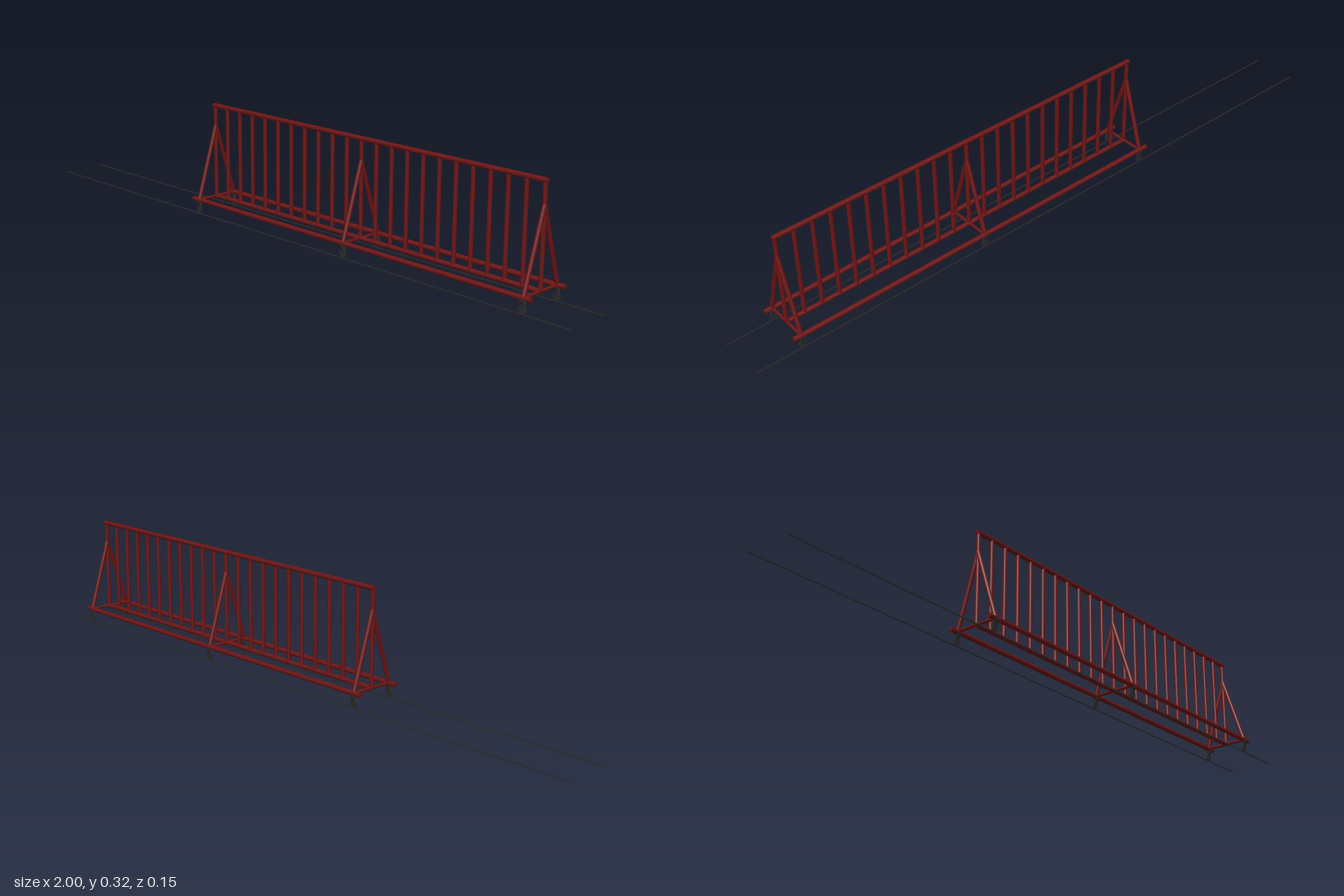
import * as THREE from 'three';

const red = new THREE.MeshStandardMaterial({ color: 0x6b1414 });
const dark = new THREE.MeshStandardMaterial({ color: 0x2a2a2a });
const plate = new THREE.MeshStandardMaterial({ color: 0x2a2a2a, side: THREE.DoubleSide });

const LEFT = 0.86, RIGHT = -0.315, MID = (LEFT + RIGHT) / 2;
const TRACK = 0.067, BASE_Y = 0.043, TOP_Y = 0.316, R = 0.0068;

export function createModel() {
  const model = new THREE.Group();
  model.name = 'slidingFence';

  const add = (name, geometry, material, x = 0, y = 0, z = 0, parent = model) => {
    const mesh = new THREE.Mesh(geometry, material);
    mesh.name = name;
    mesh.position.set(x, y, z);
    parent.add(mesh);
    return mesh;
  };

  // Round bar between two points
  const bar = (name, a, b, radius) => {
    const from = new THREE.Vector3(...a), dir = new THREE.Vector3(...b).sub(from);
    const mesh = add(name, new THREE.CylinderGeometry(radius, radius, dir.length(), 14), red);
    mesh.position.copy(from).addScaledVector(dir, 0.5);
    mesh.quaternion.setFromUnitVectors(new THREE.Vector3(0, 1, 0), dir.normalize());
    return mesh;
  };

  // Fence panel: top and bottom rails with evenly spaced pickets
  bar('topRail', [RIGHT - 0.006, TOP_Y, 0], [LEFT + 0.006, TOP_Y, 0], R);
  bar('bottomRail', [RIGHT, BASE_Y, 0], [LEFT, BASE_Y, 0], R * 0.95);
  const gaps = 22;
  for (let i = 0; i <= gaps; i++) {
    const x = RIGHT + (LEFT - RIGHT) * i / gaps;
    bar('picket', [x, BASE_Y, 0], [x, TOP_Y, 0], 0.0058);
  }

  // Curved fork cheek, a thin strip bowing in towards the axle
  const cheekProfile = new THREE.CatmullRomCurve3([
    new THREE.Vector3(0, 0.043, 0.0066), new THREE.Vector3(0, 0.034, 0.0062),
    new THREE.Vector3(0, 0.025, 0.0032), new THREE.Vector3(0, 0.014, 0.0018),
  ]).getPoints(10);
  const makeCheek = () => {
    const g = new THREE.PlaneGeometry(1, 1, 1, 10);
    const p = g.attributes.position;
    for (let i = 0; i < p.count; i++) {
      const point = cheekProfile[Math.floor(i / 2)];
      const halfWidth = 0.007 - 0.003 * Math.floor(i / 2) / 10;
      p.setXYZ(i, (i % 2 ? 1 : -1) * halfWidth, point.y, point.z);
    }
    g.computeVertexNormals();
    return g;
  };

  const wheelGeometry = new THREE.CylinderGeometry(0.0115, 0.0115, 0.0026, 24).rotateX(Math.PI / 2);
  const axleGeometry = new THREE.CylinderGeometry(0.002, 0.002, 0.0045, 10).rotateX(Math.PI / 2);
  const cheekGeometry = makeCheek();

  for (const side of [-1, 1]) {
    const z = side * TRACK;
    // Long base tubes and the ground rails they roll along
    bar('baseTube', [RIGHT - 0.025, BASE_Y, z], [LEFT + 0.023, BASE_Y, z], R);
    add('groundRail', new THREE.BoxGeometry(2, 0.003, 0.0024), dark, 0, 0.0015, z);

    for (const x of [RIGHT, MID, LEFT]) {
      // Slanting braces
      bar('brace', [x, BASE_Y, z], [x, 0.257, 0], 0.006);

      // Caster wheels
      const caster = new THREE.Group();
      caster.name = 'caster';
      caster.position.set(x, 0, z);
      model.add(caster);
      add('wheel', wheelGeometry, dark, 0, 0.0143, 0, caster);
      add('axle', axleGeometry, dark, 0, 0.0143, 0, caster);
      for (const s of [-1, 1]) {
        add('forkCheek', cheekGeometry, plate, 0, 0, 0, caster).rotation.y = s > 0 ? 0 : Math.PI;
      }
    }
  }

  // Cross bars joining the base tubes
  for (const x of [RIGHT, MID, LEFT]) {
    bar('crossBar', [x, BASE_Y, -TRACK], [x, BASE_Y, TRACK], 0.0042);
  }
  return model;
}
